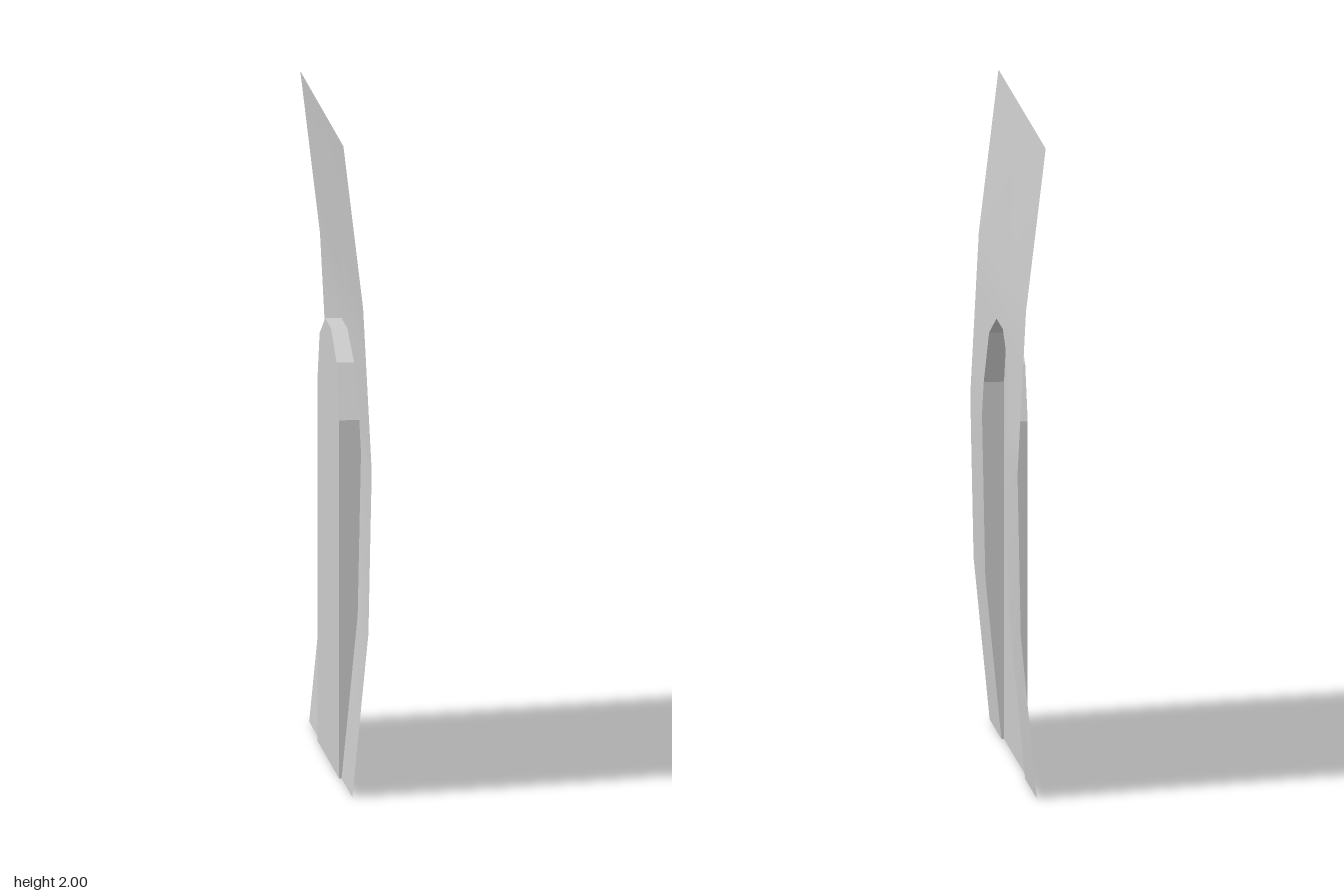
import * as THREE from 'three';
import { mergeGeometries, mergeVertices } from 'three/addons/utils/BufferGeometryUtils.js';

const HALF = 0.665;   // half width of the sheet along z
const BACK = -0.026;  // x of the flat recess panel

// Bow of the sheet: x at a given height
const BOW = [[0, -0.018], [0.5, 0.031], [1, 0.041], [1.5, 0.015], [2, -0.045]];
function bow(y) {
  const i = Math.min(3, Math.floor(y / 0.5));
  return THREE.MathUtils.lerp(BOW[i][1], BOW[i + 1][1], (y - BOW[i][0]) / 0.5);
}

// Half outline of the arch: [height, half width]
const ARCH = [[0, 0.334], [0.5, 0.334], [1, 0.334], [1.1, 0.334], [1.265, 0.262], [1.34, 0.09]];

// Surface through rows of [x, y, z] points
function loft(rows) {
  const n = rows[0].length, index = [];
  for (let r = 0; r < rows.length - 1; r++) {
    for (let c = 0; c < n - 1; c++) {
      const a = r * n + c, d = a + n;
      index.push(a, a + 1, d + 1, a, d + 1, d);
    }
  }
  const geo = new THREE.BufferGeometry();
  geo.setAttribute('position', new THREE.Float32BufferAttribute(rows.flat(2), 3));
  geo.setIndex(index);
  return geo;
}

export function createModel() {
  const group = new THREE.Group();
  const add = (name, geo, flatShading) => {
    geo.computeVertexNormals();
    const material = new THREE.MeshStandardMaterial({ color: 0xcccccc, side: THREE.DoubleSide, flatShading });
    const mesh = new THREE.Mesh(geo, material);
    mesh.name = name;
    group.add(mesh);
  };

  // Bowed sheet: a strip on each side of the arch and a full band above it
  const row = (y, zs) => zs.map(z => [bow(y), y, z]);
  const sheet = mergeGeometries([
    loft(ARCH.map(([y, w]) => row(y, [HALF, w]))),
    loft(ARCH.map(([y, w]) => row(y, [-w, -HALF]))),
    loft([1.34, 1.5, 2].map(y => row(y, [HALF, 0.09, -0.09, -HALF]))),
  ]);
  add('bowedSheet', mergeVertices(sheet), false);

  // Flat panel at the bottom of the arched recess
  add('recessPanel', loft(ARCH.map(([y, w]) => [[BACK, y, w], [BACK, y, -w]])), true);

  // Wall of the recess, running up one side, over the arch and down the other
  const path = [...ARCH, ...ARCH.map(([y, w]) => [y, -w]).reverse()];
  add('recessWall', loft([
    path.map(([y, z]) => [BACK, y, z]),
    path.map(([y, z]) => [bow(y), y, z]),
  ]), true);

  return group;
}
